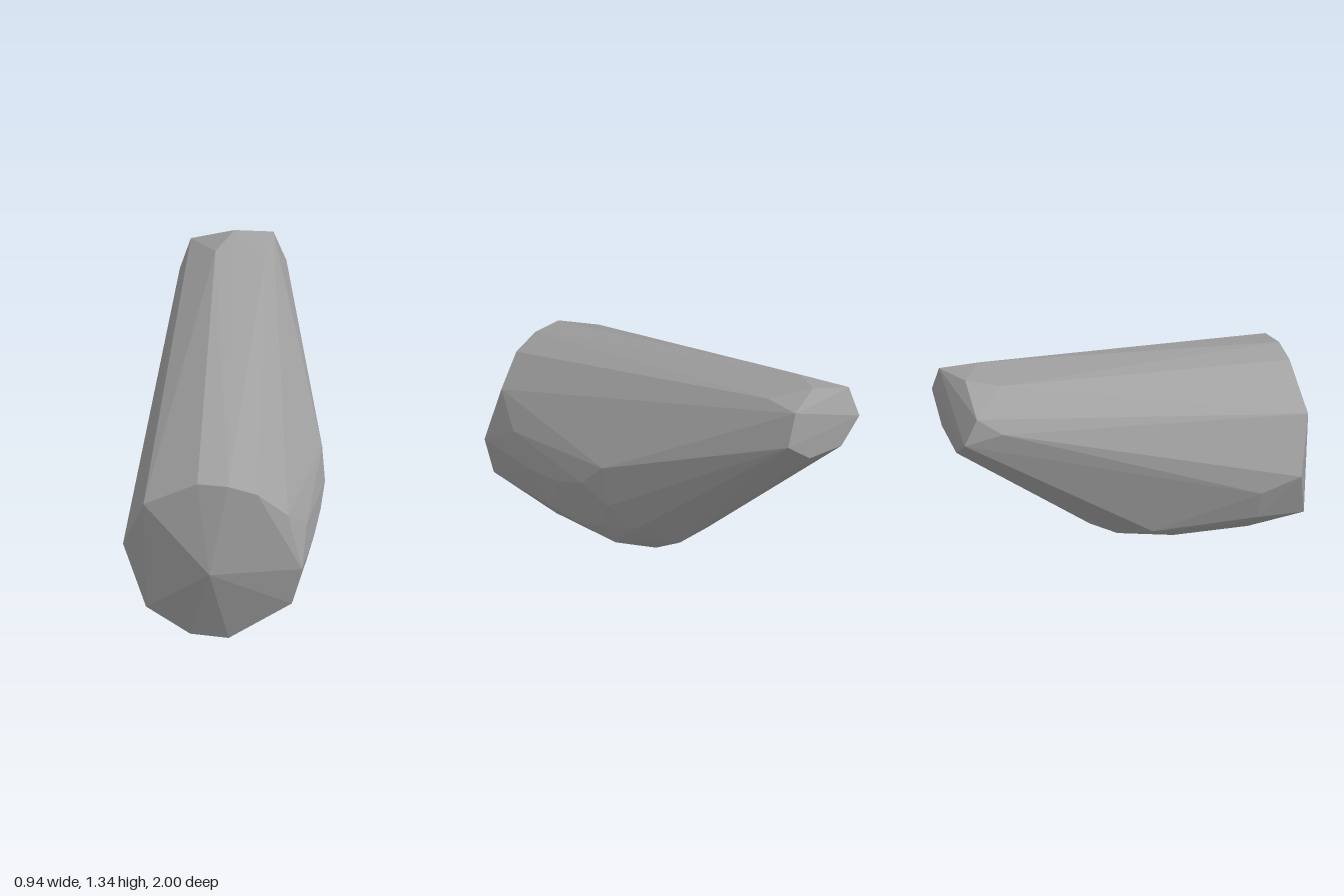
import * as THREE from 'three';
import { ConvexGeometry } from 'three/addons/geometries/ConvexGeometry.js';

// Faceted convex body defined by a few rings of corner points
const nose = [[0.01, 0.45, 1]];

const frontRim = [
  [-0.07, 0.93, 0.9], [0.09, 0.93, 0.9], [0.24, 0.885, 0.88], [0.39, 0.745, 0.83],
  [0.47, 0.455, 0.87], [0.415, 0.235, 0.86], [0.2, 0.08, 0.83], [0.09, 0.005, 0.88],
  [-0.11, 0.01, 0.88], [-0.34, 0.15, 0.88], [-0.47, 0.48, 0.82], [-0.35, 0.78, 0.9],
];

// Rounded lower rear of the thick end
const belly = [
  [0.46, 0.6, 0.66], [0.472, 0.44, 0.5], [0.47, 0.47, 0.3], [0.465, 0.54, 0.14],
  [0.43, 0.67, 0.02], [0.41, 0.44, 0], [0.42, 0.24, 0.43], [0.385, 0.205, 0.26],
  [0.38, 0.26, 0.09], [0.31, 0.31, -0.11], [0.31, 0.11, 0.5], [0.29, 0.13, 0.07],
  [0.19, 0.04, 0.35], [0.06, 0.005, 0.22], [0.12, 0.08, -0.05], [0.1, 0.18, -0.21],
  [-0.03, 0.003, 0.37], [-0.15, 0.02, 0.46], [-0.27, 0.08, 0.6], [-0.1, 0.08, -0.05],
  [-0.1, 0.18, -0.2], [-0.25, 0.11, 0.2], [-0.36, 0.25, 0.05], [-0.37, 0.19, 0.5],
  [-0.415, 0.24, 0.6], [-0.472, 0.43, 0.6],
];

// Narrow raised tail and its end cap
const tail = [
  [-0.255, 1.31, -0.74], [0, 1.29, -0.77], [-0.45, 1.15, -0.8],
  [-0.185, 1.34, -0.91], [-0.415, 1.255, -0.93], [0.005, 1.305, -0.985],
  [0.07, 1.13, -1], [-0.08, 1, -1], [-0.3, 0.98, -1], [-0.425, 1.11, -1],
];

export function createModel() {
  const grey = new THREE.MeshStandardMaterial({ color: 0xa0a0a0 });
  grey.name = 'grey';

  const points = [...nose, ...frontRim, ...belly, ...tail].map((p) => new THREE.Vector3(...p));
  const body = new THREE.Mesh(new ConvexGeometry(points), grey);
  body.name = 'facetedBody';

  const model = new THREE.Group();
  model.name = 'taperedHull';
  model.add(body);
  return model;
}
